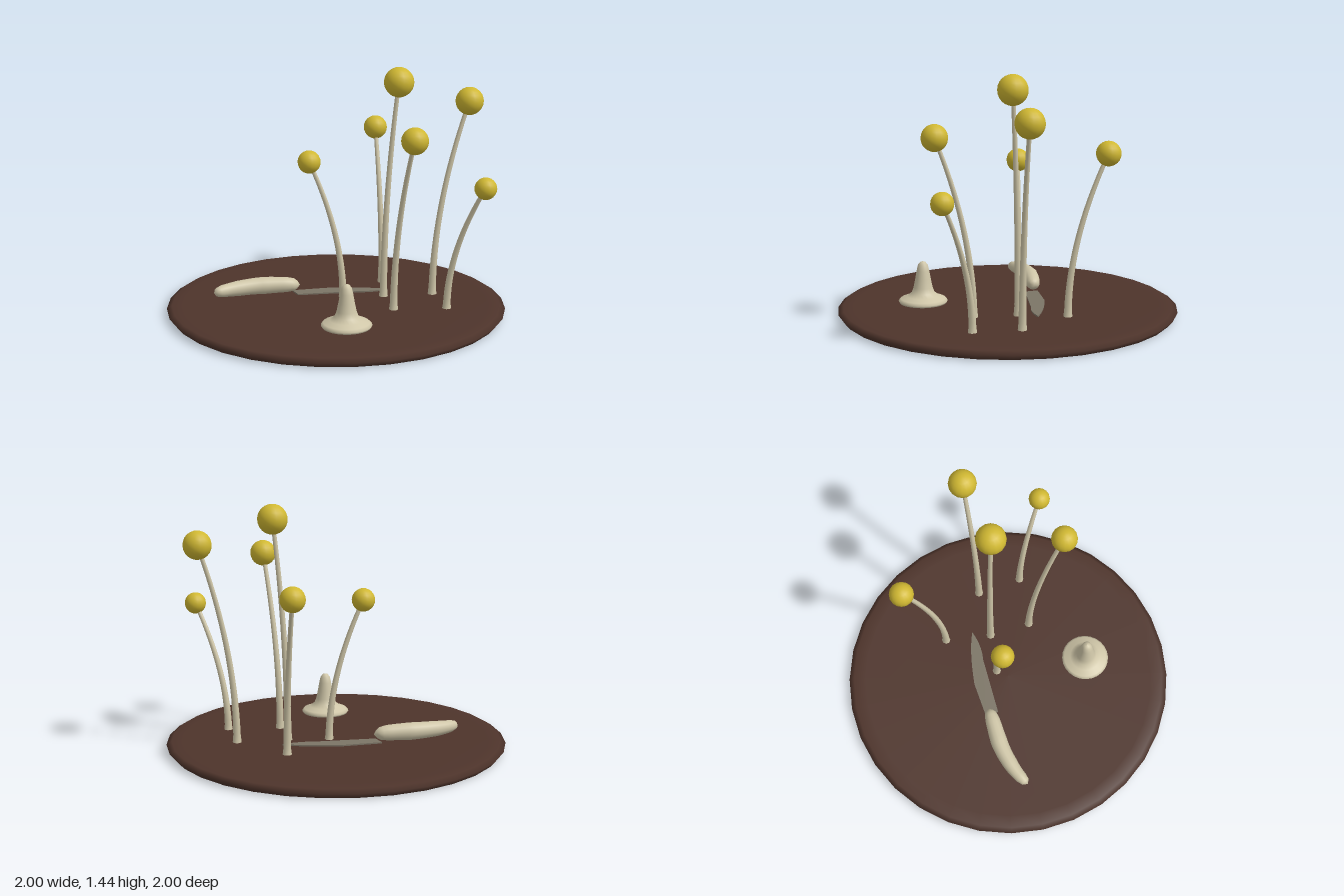
import * as THREE from 'three';
import { mergeVertices } from 'three/addons/utils/BufferGeometryUtils.js';

const mat = (name, color, side = THREE.FrontSide) => {
  const m = new THREE.MeshStandardMaterial({ color, side });
  m.name = name;
  return m;
};

// Tube along a curve whose radius follows [u, radius] stops
function taperedTube(curve, stops, segments, sides) {
  const g = new THREE.TubeGeometry(curve, segments, 1, sides, false);
  const p = g.attributes.position, v = new THREE.Vector3();
  for (let i = 0; i <= segments; i++) {
    const u = i / segments, c = curve.getPointAt(u);
    let k = 1;
    while (k < stops.length - 1 && stops[k][0] < u) k++;
    const [a, ra] = stops[k - 1], [b, rb] = stops[k];
    const r = THREE.MathUtils.lerp(ra, rb, (u - a) / (b - a));
    for (let j = 0; j <= sides; j++) {
      const n = i * (sides + 1) + j;
      v.fromBufferAttribute(p, n).sub(c).multiplyScalar(r).add(c);
      p.setXYZ(n, v.x, v.y, v.z);
    }
  }
  g.deleteAttribute('uv');
  g.deleteAttribute('normal');
  const merged = mergeVertices(g, 1e-5);
  merged.computeVertexNormals();
  return merged;
}

export function createModel() {
  const root = new THREE.Group();
  const brown = mat('darkBrown', 0x4e342b);
  const cream = mat('cream', 0xcfc6a8);
  const yellow = mat('yellow', 0xd0b832);
  const grey = mat('greyBlade', 0x7c7566, THREE.DoubleSide);

  const add = (name, geometry, material, parent = root) => {
    const m = new THREE.Mesh(geometry, material);
    m.name = name;
    parent.add(m);
    return m;
  };
  const lathe = (pts, sides) =>
    new THREE.LatheGeometry(pts.map(([x, y]) => new THREE.Vector2(x, y)), sides);

  // Round ground disc with bevelled rim
  add('groundDisc', lathe([[0, 0], [0.975, 0], [1, 0.03], [0.97, 0.048], [0.9, 0.05], [0, 0.05]], 32), brown);

  // Ball-headed stalks: base x, base z, head x, y, z, head radius
  [
    [0.12, -0.27, 0.19, 1.35, -0.315, 0.088],
    [0.275, -0.525, 0.367, 1.22, -0.715, 0.083],
    [0.345, -0.15, 0.565, 1.09, -0.098, 0.077],
    [-0.1, -0.45, -0.295, 0.985, -0.56, 0.072],
    [-0.025, -0.075, -0.138, 0.88, 0.09, 0.068],
    [0.525, -0.405, 0.755, 0.8, -0.468, 0.064],
  ].forEach(([bx, bz, hx, hy, hz, r]) => {
    const stalk = new THREE.Group();
    stalk.name = 'stalk';
    const curve = new THREE.QuadraticBezierCurve3(
      new THREE.Vector3(bx, 0.045, bz),
      new THREE.Vector3(bx, hy * 0.5, bz),
      new THREE.Vector3(hx, hy, hz));
    add('stem', taperedTube(curve, [[0, 0.027], [0.04, 0.022], [0.3, 0.018], [1, 0.012]], 24, 8), cream, stalk);
    add('ballHead', new THREE.SphereGeometry(r, 16, 12), yellow, stalk).position.set(hx, hy, hz);
    root.add(stalk);
  });

  // Pointed cap with a flared rim
  add('pointedCap', lathe([
    [0, 0.048], [0.11, 0.05], [0.138, 0.058], [0.145, 0.07], [0.132, 0.084], [0.095, 0.098],
    [0.068, 0.118], [0.056, 0.15], [0.046, 0.2], [0.037, 0.25], [0.029, 0.285], [0.015, 0.302], [0, 0.306],
  ], 24), cream).position.set(0.42, 0, 0.27);

  // Knife handle, gently curved and rounded at both ends
  const handlePath = new THREE.CatmullRomCurve3([
    [-0.43, 0.105, 0.58], [-0.423, 0.105, 0.47], [-0.378, 0.107, 0.31],
    [-0.292, 0.105, 0.15], [-0.25, 0.1, 0.075],
  ].map((p) => new THREE.Vector3(...p)));
  add('knifeHandle', taperedTube(handlePath,
    [[0, 0], [0.03, 0.025], [0.1, 0.036], [0.3, 0.046], [0.6, 0.052], [0.85, 0.046], [0.95, 0.036], [1, 0]],
    30, 14), cream);

  // Flat blade lying on the disc (drawn in x, -z)
  const blade = new THREE.Shape();
  blade.moveTo(-0.295, -0.1);
  blade.lineTo(-0.19, 0.11);
  blade.quadraticCurveTo(-0.06, 0.285, 0.05, 0.365);
  blade.quadraticCurveTo(0.03, 0.26, -0.035, 0.185);
  blade.lineTo(-0.215, -0.12);
  blade.closePath();
  const bladeGeo = new THREE.ExtrudeGeometry(blade, { depth: 0.009, bevelEnabled: false, curveSegments: 8 });
  bladeGeo.rotateX(-Math.PI / 2);
  add('knifeBlade', bladeGeo, grey).position.y = 0.049;

  return root;
}
